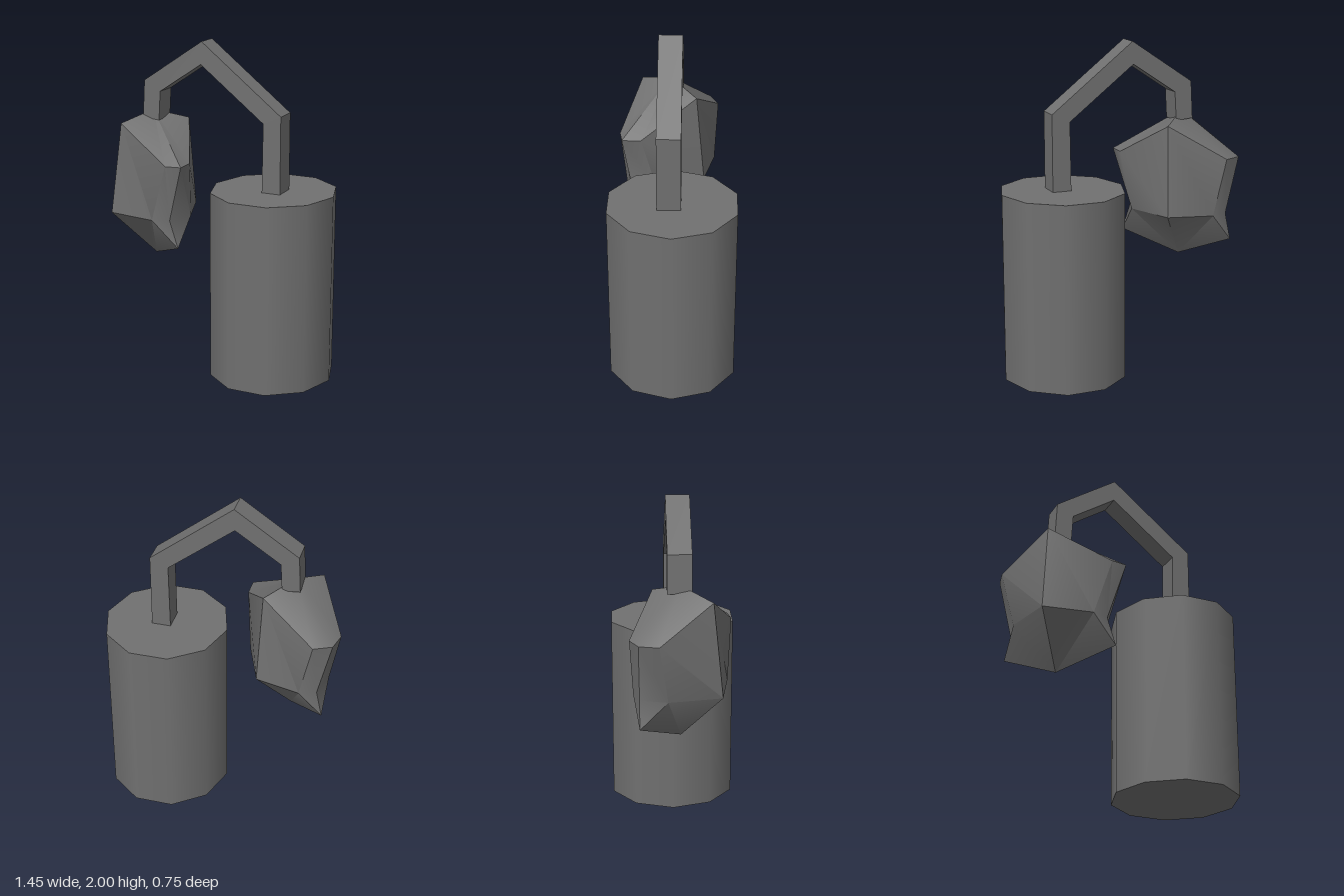
import * as THREE from 'three';
import { toCreasedNormals } from 'three/addons/utils/BufferGeometryUtils.js';

const grey = new THREE.MeshStandardMaterial({ color: 0x707070 });
grey.name = 'iron grey';

function part(name, geometry) {
  const mesh = new THREE.Mesh(geometry, grey);
  mesh.name = name;
  return mesh;
}

// Faceted lantern: one half is described, the other is its half turn about a vertical axis
function lanternGeometry() {
  const cx = -0.41, cz = 0.03;
  const points = {
    A: [-0.43, 1.56, cz],
    B: [-0.42, 0.66, cz],
    P: [-0.555, 1.495, 0.205],
    Q: [-0.195, 1.295, 0.33],
    R: [-0.1, 1.295, 0.315],
    S: [-0.1, 1.295, 0.2],
    F: [-0.6, 0.95, 0.26],
    G: [-0.3, 0.95, 0.305],
    L: [-0.2, 0.95, 0.27],
    K: [-0.14, 0.95, 0.11],
    H: [-0.145, 0.785, 0.27],
  };
  // Lower-case letters are the turned copies
  const turned = {
    p: [-0.27, 1.495, -0.13], q: [-0.595, 1.295, -0.265],
    r: [-0.7, 1.295, -0.215], s: [-0.727, 1.295, -0.1],
    f: [-0.25, 0.95, -0.18], k: [-0.66, 0.95, -0.05], h: [-0.655, 0.785, -0.21],
  };
  for (const key of 'PQRSFGLKH') {
    const [x, y, z] = points[key], low = key.toLowerCase();
    points[low] = turned[low] ?? [2 * cx - x, y, 2 * cz - z];
  }
  const half = 'APQ AQR ARS ASp PFG PGQ QGL QLR RLK RKS SKf Sfp GHL LHK BHG BGF BKH BfK'.split(' ');
  const swap = (c) => ('AB'.includes(c) ? c : c === c.toUpperCase() ? c.toLowerCase() : c.toUpperCase());
  const positions = [];
  for (const face of half) {
    for (const c of face) positions.push(...points[c]);
  }
  for (const face of half) {
    for (const c of face) positions.push(...points[swap(c)]);
  }
  const geometry = new THREE.BufferGeometry();
  geometry.setAttribute('position', new THREE.Float32BufferAttribute(positions, 3));
  return toCreasedNormals(geometry, 0.65);
}

export function createModel() {
  const model = new THREE.Group();
  model.name = 'lanternPost';

  // Ten-sided drum, smooth around, slightly deeper than wide at its corners
  const drum = new THREE.CylinderGeometry(0.375, 0.375, 1.14, 10, 1, false, Math.PI / 2);
  drum.scale(1, 1, 1.05).translate(0.352, 0.57, 0);
  model.add(part('drum', drum));

  // Bent square bar that rises from the drum and drops to the lantern
  const outline = [
    [0.43, 1.13], [0.43, 1.6], [-0.075, 2], [-0.455, 1.745], [-0.467, 1.52],
    [-0.36, 1.51], [-0.35, 1.685], [-0.08, 1.865], [0.32, 1.55], [0.315, 1.13],
  ];
  const bar = new THREE.ExtrudeGeometry(
    new THREE.Shape(outline.map(([x, y]) => new THREE.Vector2(x, y))),
    { depth: 0.14, bevelEnabled: false },
  );
  bar.translate(0, 0, -0.05);
  model.add(part('hangingArm', bar));

  model.add(part('lantern', lanternGeometry()));
  return model;
}
